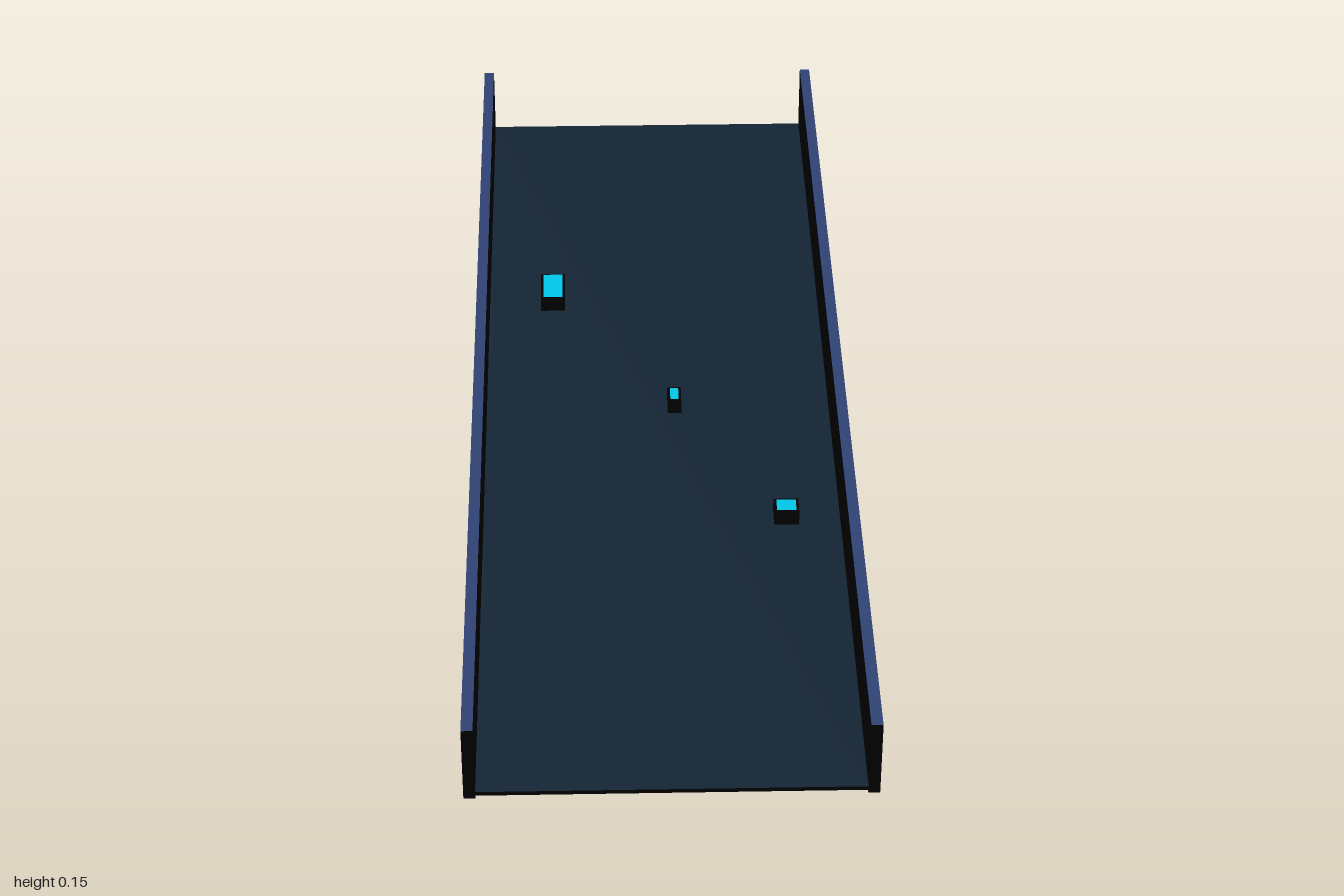
import * as THREE from 'three';

const mat = (name, color) => {
  const m = new THREE.MeshStandardMaterial({ color });
  m.name = name;
  return m;
};

export function createModel() {
  const black = mat('black', 0x000000);
  const slate = mat('slate', 0x142434);
  const navy = mat('navy', 0x031a38);
  const railBlue = mat('rail blue', 0x2f4272);
  const endBlue = mat('end blue', 0x1e4470);
  const cyan = mat('cyan', 0x00d4f8);

  const model = new THREE.Group();
  model.name = 'channelTray';
  // The tray lies diagonally: local x runs along it, local z across it
  const tray = new THREE.Group();
  tray.name = 'tray';
  tray.rotation.y = Math.PI / 4;
  model.add(tray);

  // Box whose near end, top and underside have their own colours; the rest is black
  function block(name, size, pos, end, top, under) {
    const mesh = new THREE.Mesh(new THREE.BoxGeometry(...size), [end, black, top, under, black, black]);
    mesh.name = name;
    mesh.position.set(...pos);
    tray.add(mesh);
  }

  const L = 2.128, W = 0.7, H = 0.15, T = 0.02;

  // Floor plate between the walls
  block('floor', [L, 0.008, W - 2 * T], [0, 0.01, 0], navy, slate, navy);

  // Side walls, each with a small light on its end
  for (const s of [-1, 1]) {
    const z = s * (W - T) / 2;
    block(s > 0 ? 'frontWall' : 'backWall', [L, H, T], [0, H / 2, z], endBlue, railBlue, black);
    block('wallEndLight', [0.002, 0.012, T], [L / 2, 0.065, z], cyan, cyan, cyan);
  }

  // Small raised blocks on the floor: along, across, length, width
  const blocks = [
    [0.4, -0.203, 0.08, 0.038],
    [0.025, 0.032, 0.036, 0.016],
    [-0.33, 0.23, 0.032, 0.036],
  ];
  for (const [x, z, l, w] of blocks) {
    const h = 0.036;
    block('raisedBlock', [l + 0.01, h, w + 0.01], [x, 0.006 + h / 2, z], black, black, navy);
    block('blockCap', [l, 0.002, w], [x, 0.006 + h + 0.001, z], cyan, cyan, black);
    block('blockFoot', [l, 0.006, w], [x, 0.003, z], cyan, black, navy);
  }
  return model;
}
